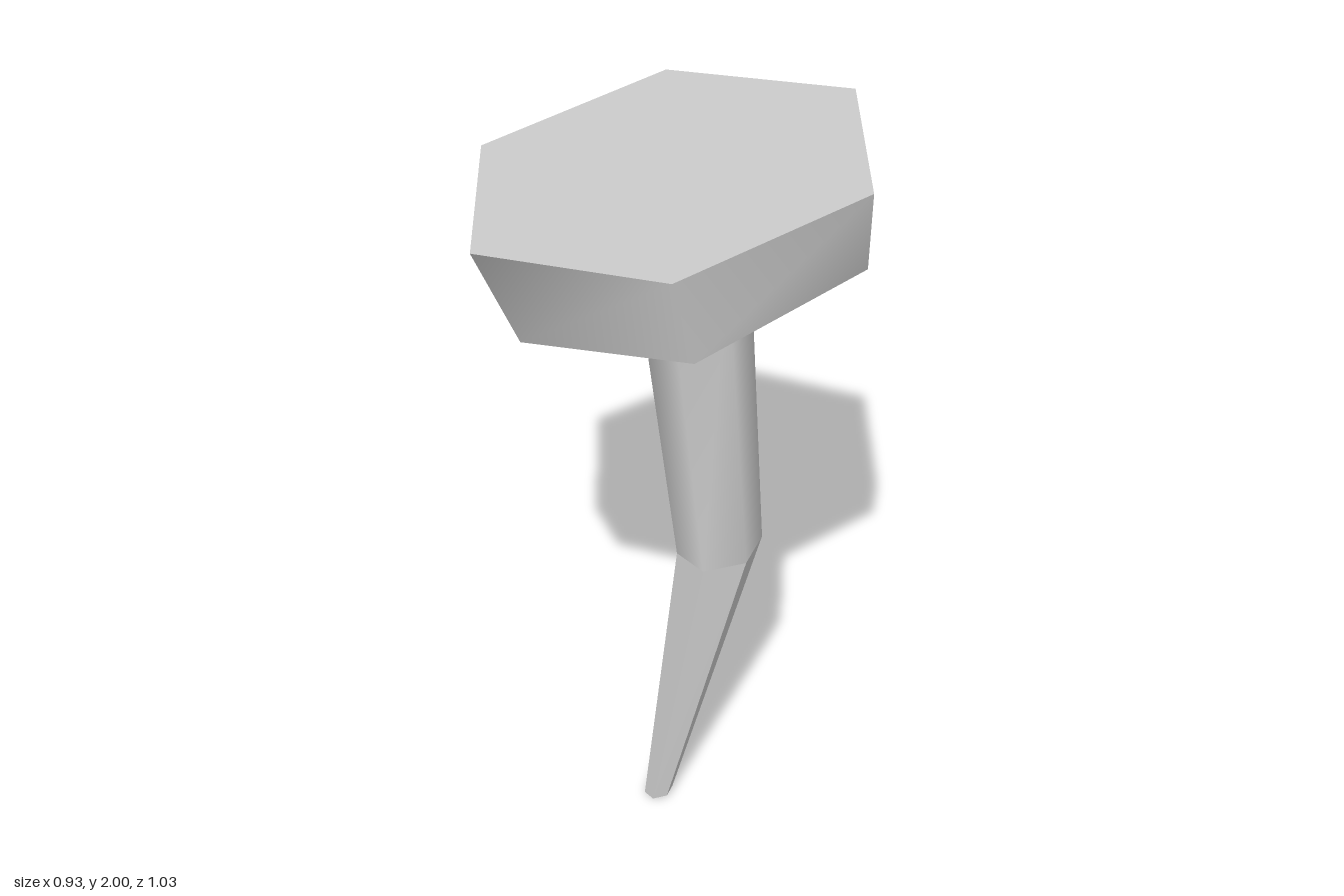
import * as THREE from 'three';

// Six-sided ring: half of its corners as [dx, dz], the rest by point symmetry.
// The ring plane tilts by slopeX and slopeZ around its centre.
function ring(half, scale, [cx, cy, cz], slopeX, slopeZ = 0) {
  const corners = [...half, ...half.map(([x, z]) => [-x, -z])];
  return corners.map(([x, z]) => {
    const dx = x * scale, dz = z * scale;
    return [cx + dx, cy + slopeX * dx + slopeZ * dz, cz + dz];
  });
}

// Solid between two rings; sides share corners when smooth, caps stay flat
function loft(low, high, smooth) {
  const n = low.length;
  const positions = [...low, ...high, ...low, ...high].flat();
  const index = [];
  for (let i = 0; i < n; i++) {
    const j = (i + 1) % n;
    index.push(i, j, n + j, i, n + j, n + i);
  }
  for (let i = 1; i < n - 1; i++) {
    index.push(2 * n, 2 * n + i + 1, 2 * n + i);
    index.push(3 * n, 3 * n + i, 3 * n + i + 1);
  }
  let geometry = new THREE.BufferGeometry();
  geometry.setAttribute('position', new THREE.Float32BufferAttribute(positions, 3));
  geometry.setIndex(index);
  if (!smooth) geometry = geometry.toNonIndexed();
  geometry.computeVertexNormals();
  return geometry;
}

export function createModel() {
  const group = new THREE.Group();
  group.name = 'bentNail';
  const metal = new THREE.MeshStandardMaterial({ color: 0xcccccc });
  metal.name = 'grey metal';

  const add = (name, low, high, smooth) => {
    const mesh = new THREE.Mesh(loft(low, high, smooth), metal);
    mesh.name = name;
    group.add(mesh);
  };

  const headHalf = [[0.466, -0.21], [0.055, -0.514], [-0.412, -0.304]];
  const hexHalf = [[1, 0], [0.5, -0.866], [-0.5, -0.866]];

  // Wide tilted head, narrower underneath
  add('head',
    ring(headHalf, 0.885, [0.05, 1.707, 0.003], 0.24, 0.003),
    ring(headHalf, 1, [0, 1.928, 0], 0.159, 0.036), true);

  // Upper shaft and bent point meet at a shared ring
  const bend = ring(hexHalf, 0.109, [0.13, 0.838, 0], 0.16);
  add('shaft', bend, ring(hexHalf, 0.135, [0.055, 1.71, 0], 0.24), true);
  add('point', ring(hexHalf, 0.038, [-0.028, 0.008, 0], 0.2), bend, false);

  return group;
}
